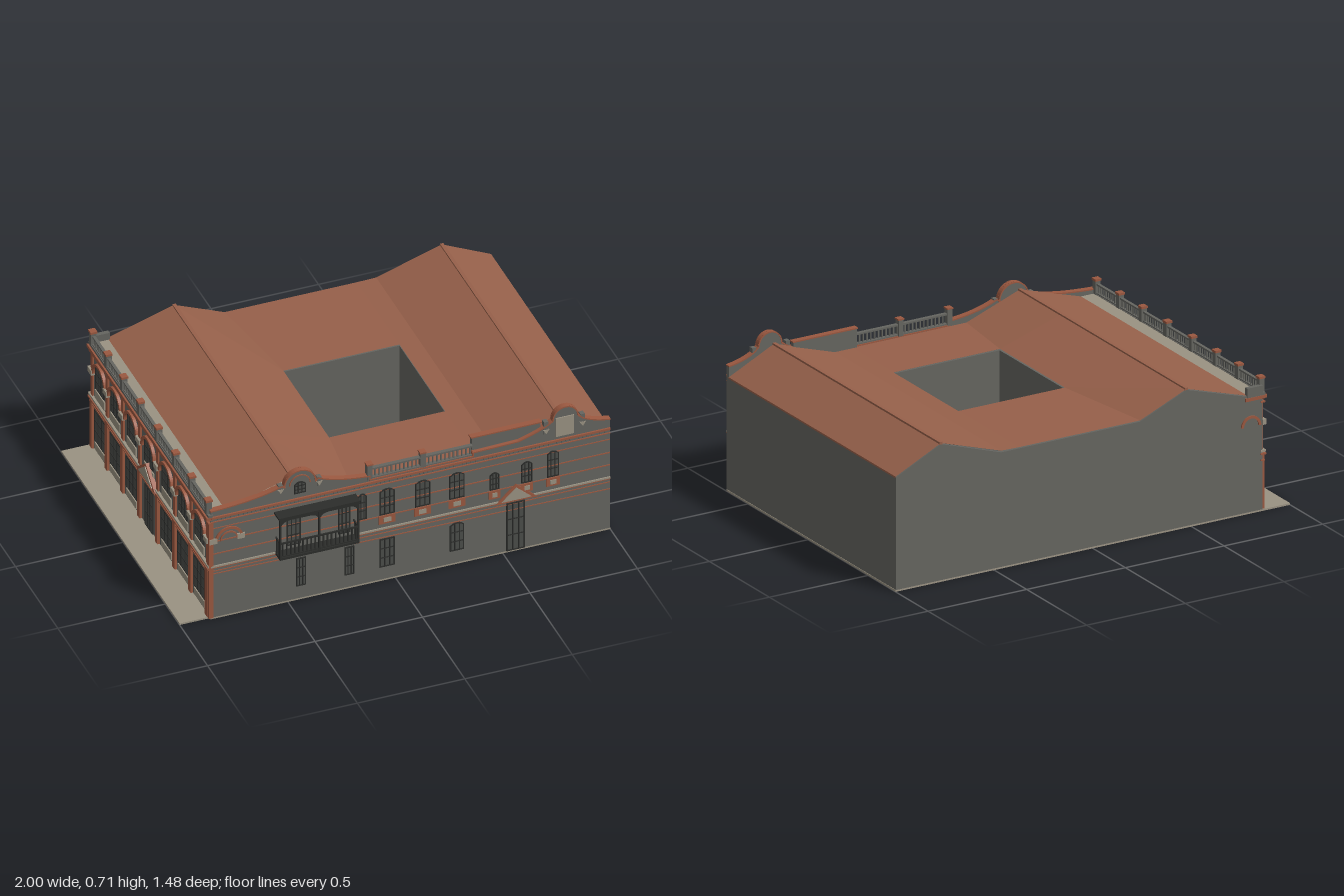
import * as THREE from 'three';

const material = (name, color, side = THREE.FrontSide) => {
  const m = new THREE.MeshStandardMaterial({ color, side });
  m.name = name;
  return m;
};
const WALL = material('grey render', 0x656560);
const ROOF = material('terracotta tile', 0x96604a, THREE.DoubleSide);
const TRIM = material('red trim', 0x9a5840);
const STONE = material('pale stone', 0x9a9282);
const IRON = material('dark iron', 0x2c2d2b);
const GLASS = material('dark glass', 0x4b4d4a);

function add(parent, name, geo, mat) {
  const m = new THREE.Mesh(geo, mat);
  m.name = name;
  parent.add(m);
  return m;
}
function box(parent, name, mat, x0, x1, y0, y1, z0, z1) {
  const m = add(parent, name, new THREE.BoxGeometry(x1 - x0, y1 - y0, z1 - z0), mat);
  m.position.set((x0 + x1) / 2, (y0 + y1) / 2, (z0 + z1) / 2);
  return m;
}
function plate(parent, name, mat, shape, z, depth) {
  const geo = new THREE.ExtrudeGeometry(shape, { depth, bevelEnabled: false, curveSegments: 12 });
  return add(parent, name, geo.translate(0, 0, z), mat);
}
const polygon = pts => new THREE.Shape(pts.map(p => new THREE.Vector2(...p)));
function group(parent, name) {
  const g = new THREE.Group();
  g.name = name;
  parent.add(g);
  return g;
}
// Row of short bars following a line of points
function strip(parent, name, mat, pts, z0, z1, t) {
  for (let i = 1; i < pts.length; i++) {
    const [a, b] = [pts[i - 1], pts[i]];
    const m = box(parent, name, mat, 0, Math.hypot(b.x - a.x, b.y - a.y) + t / 2, 0, t, z0, z1);
    m.position.set((a.x + b.x) / 2, (a.y + b.y) / 2, (z0 + z1) / 2);
    m.rotation.z = Math.atan2(b.y - a.y, b.x - a.x);
  }
}
// Half-round band
function arch(parent, mat, x, y, r, t, z, depth) {
  const s = new THREE.Shape();
  s.absarc(x, y, r, 0, Math.PI, false);
  s.absarc(x, y, r - t, Math.PI, 0, true);
  plate(parent, 'arch', mat, s, z, depth);
}
// Framed window with glazing bars and an optional rounded head
function windowUnit(parent, x, y0, y1, w, z, rounded) {
  const g = group(parent, 'window'), h = w / 2, d = z + 0.006;
  const outline = k => {
    const s = new THREE.Shape().moveTo(x - h + k, y0 + k).lineTo(x + h - k, y0 + k).lineTo(x + h - k, y1 - 0.015);
    if (rounded) s.quadraticCurveTo(x, y1 + 0.015 - 2 * k, x - h + k, y1 - 0.015);
    else s.lineTo(x + h - k, y1 - k).lineTo(x - h + k, y1 - k);
    return s;
  };
  plate(g, 'pane', GLASS, outline(0.002), z, 0.002);
  const frame = outline(0);
  frame.holes.push(outline(0.005));
  plate(g, 'frame', IRON, frame, z, 0.006);
  for (const k of [-1 / 6, 1 / 6]) box(g, 'glazing bar', IRON, x + w * k - 0.002, x + w * k + 0.002, y0, y1 - 0.006, z, d);
  for (const k of [0.33, 0.66]) {
    const y = y0 + (y1 - y0) * k;
    box(g, 'glazing bar', IRON, x - h, x + h, y - 0.002, y + 0.002, z, d);
  }
}
function balustrade(parent, x0, x1, y0, y1, z0, z1, mat) {
  const g = group(parent, 'balustrade'), n = Math.round((x1 - x0) / 0.019), zc = (z0 + z1) / 2;
  box(g, 'top rail', mat, x0, x1, y1 - 0.008, y1, z0, z1);
  box(g, 'bottom rail', mat, x0, x1, y0, y0 + 0.006, z0, z1);
  for (let i = 0; i < n; i++) {
    const x = x0 + (i + 0.5) * (x1 - x0) / n;
    box(g, 'baluster', mat, x - 0.003, x + 0.003, y0, y1 - 0.004, zc - 0.003, zc + 0.003);
  }
}

// Four walls, courtyard shaft and ground slabs
function buildShell(root) {
  const g = group(root, 'shell');
  box(g, 'ground slab', STONE, -0.86, 1, 0, 0.008, -0.73, 0.68);
  box(g, 'pavement', STONE, -1, -0.86, 0, 0.008, -0.73, 0.67);
  box(g, 'side wall', WALL, 0.98, 0.998, 0.008, 0.53, -0.73, 0.68);
  box(g, 'street wall', WALL, -0.86, -0.84, 0.008, 0.54, -0.73, 0.68);
  const gable = polygon([[-0.86, 0.008], [0.998, 0.008], [0.998, 0.53], [0.77, 0.64], [0.465, 0.54],
    [-0.24, 0.54], [-0.475, 0.64], [-0.785, 0.545], [-0.86, 0.545]]);
  plate(g, 'back wall', WALL, gable, -0.73, 0.018);
  box(g, 'courtyard wall', WALL, -0.175, -0.163, 0.008, 0.54, -0.225, 0.315);
  box(g, 'courtyard wall', WALL, 0.375, 0.387, 0.008, 0.54, -0.225, 0.315);
  box(g, 'courtyard wall', WALL, -0.175, 0.387, 0.008, 0.54, -0.237, -0.225);
  box(g, 'courtyard wall', WALL, -0.175, 0.387, 0.008, 0.54, 0.315, 0.327);
}

// Two ridges with a low field between, open over the courtyard
function buildRoof(root) {
  const g = group(root, 'roof'), pos = [];
  const zs = [-0.73, -0.225, 0.315, 0.662], valley = [-0.24, -0.165, -0.165, -0.205];
  const section = i => [[-0.785, 0.55], [-0.475, 0.645], [valley[i], 0.546], [0.375, 0.546], [0.465, 0.548],
    [0.77, 0.645], [1, 0.535], [1, 0.527]].map(([x, y]) => [x, y, zs[i]]);
  for (let i = 0; i < 3; i++) {
    const a = section(i), b = section(i + 1);
    for (let j = 0; j < a.length - 1; j++) {
      if (i === 1 && j === 2) continue;
      pos.push(...a[j], ...b[j], ...b[j + 1], ...a[j], ...b[j + 1], ...a[j + 1]);
    }
  }
  const geo = new THREE.BufferGeometry();
  geo.setAttribute('position', new THREE.Float32BufferAttribute(pos, 3));
  geo.computeVertexNormals();
  add(g, 'tiles', geo, ROOF);
  for (const x of [-0.475, 0.77]) box(g, 'ridge cap', ROOF, x - 0.008, x + 0.008, 0.638, 0.65, -0.73, 0.66);
  box(g, 'gutter deck', STONE, -0.86, -0.78, 0.54, 0.55, -0.73, 0.665);
}

// Front wall, shaped parapet, bands, openings
function buildFront(root) {
  const g = group(root, 'front'), Z = 0.68;
  const s = new THREE.Shape().moveTo(-0.86, 0.57);
  s.quadraticCurveTo(-0.63, 0.58, -0.53, 0.62).lineTo(-0.515, 0.61);
  s.absarc(-0.445, 0.61, 0.073, Math.PI, 0, true);
  s.lineTo(-0.36, 0.622).quadraticCurveTo(-0.27, 0.58, -0.12, 0.57);
  s.lineTo(-0.12, 0.55).lineTo(0.36, 0.55).lineTo(0.36, 0.57).lineTo(0.57, 0.575);
  s.quadraticCurveTo(0.66, 0.6, 0.705, 0.625).lineTo(0.73, 0.64);
  s.absarc(0.79, 0.645, 0.058, Math.PI, 0, true);
  s.lineTo(0.87, 0.625).quadraticCurveTo(0.92, 0.595, 0.998, 0.585);
  strip(g, 'coping', TRIM, s.getPoints(10), 0.658, 0.685, 0.006);
  s.lineTo(0.998, 0.008).lineTo(-0.86, 0.008);
  plate(g, 'front wall', WALL, s, 0.66, 0.02);
  box(g, 'parapet block', WALL, 0.36, 0.68, 0.55, 0.636, 0.645, 0.668);
  box(g, 'parapet block coping', TRIM, 0.355, 0.685, 0.636, 0.642, 0.642, 0.67);

  // Pediment details
  arch(g, TRIM, -0.445, 0.61, 0.05, 0.005, Z, 0.004);
  windowUnit(g, -0.445, 0.565, 0.625, 0.055, Z, true);
  box(g, 'pediment panel', STONE, 0.745, 0.83, 0.555, 0.652, Z, Z + 0.005);
  for (const x of [-0.535, -0.355, 0.70, 0.87]) {
    box(g, 'parapet post', WALL, x - 0.01, x + 0.01, 0.58, 0.645 - (x < 0 ? 0.02 : 0), 0.66, 0.684);
    plate(g, 'corbel', STONE, polygon([[x - 0.014, 0.605], [x, 0.583], [x + 0.014, 0.605]]), Z, 0.006);
  }
  balustrade(g, -0.12, 0.36, 0.553, 0.606, 0.662, 0.68, WALL);
  for (const x of [-0.12, 0.128]) {
    box(g, 'balustrade post', WALL, x - 0.012, x + 0.012, 0.55, 0.625, 0.657, 0.684);
    box(g, 'post cap', TRIM, x - 0.015, x + 0.015, 0.625, 0.632, 0.655, 0.686);
  }

  // Horizontal mouldings: height, thickness, projection
  for (const [y, t, d] of [[0.53, 0.01, 0.008], [0.51, 0.004, 0.005], [0.475, 0.004, 0.003],
    [0.405, 0.005, 0.003], [0.34, 0.005, 0.003], [0.25, 0.004, 0.003]])
    box(g, 'moulding', TRIM, -0.86, 0.998, y, y + t, Z, Z + d);
  box(g, 'string course', STONE, -0.86, 0.998, 0.273, 0.281, Z, Z + 0.006);
  box(g, 'string course edge', TRIM, -0.86, 0.998, 0.268, 0.273, Z, Z + 0.005);
  box(g, 'lower moulding', TRIM, -0.86, 0.998, 0.225, 0.229, Z, Z + 0.003).rotation.z = -0.012;
  for (let i = 0; i < 92; i++)
    box(g, 'dentil', WALL, -0.85 + i * 0.02, -0.841 + i * 0.02, 0.519, 0.529, Z, Z + 0.005);
  box(g, 'corner pilaster', TRIM, -0.87, -0.848, 0.008, 0.51, 0.655, Z + 0.005);

  // Arched corner bay
  arch(g, TRIM, -0.775, 0.405, 0.066, 0.012, Z, 0.006);
  arch(g, TRIM, -0.775, 0.405, 0.042, 0.006, Z, 0.005);
  for (const x of [-0.85, -0.72]) box(g, 'impost', STONE, x - 0.018, x + 0.018, 0.398, 0.424, Z, Z + 0.008);

  // Windows: centre, bottom, top, width
  for (const [x, y0, y1, w] of [[-0.475, 0.3, 0.46, 0.065], [-0.24, 0.3, 0.46, 0.055], [-0.155, 0.35, 0.485, 0.04],
    [-0.04, 0.35, 0.485, 0.07], [0.125, 0.35, 0.485, 0.07], [0.285, 0.35, 0.485, 0.07],
    [0.46, 0.35, 0.44, 0.045], [0.61, 0.35, 0.46, 0.05], [0.732, 0.35, 0.485, 0.055]]) {
    windowUnit(g, x, y0, y1, w, Z, true);
    if (x < -0.1) continue;
    box(g, 'sill', TRIM, x - w / 2 - 0.004, x + w / 2 + 0.004, 0.302, 0.345, Z, Z + 0.005);
    box(g, 'sill panel', STONE, x - w / 4, x + w / 4, 0.312, 0.334, Z, Z + 0.008);
  }
  for (const [x, w] of [[-0.44, 0.045], [-0.215, 0.045], [-0.04, 0.07], [0.285, 0.065]])
    windowUnit(g, x, 0.075, 0.222, w, Z, x > 0);

  // Side door with gabled hood
  windowUnit(g, 0.558, 0.01, 0.26, 0.085, Z, false);
  plate(g, 'door hood edge', TRIM, polygon([[0.462, 0.266], [0.658, 0.266], [0.56, 0.354]]), Z, 0.007);
  plate(g, 'door hood', STONE, polygon([[0.49, 0.275], [0.63, 0.275], [0.56, 0.338]]), Z, 0.01);
}

// Covered iron balcony with two arched openings
function buildBalcony(root) {
  const g = group(root, 'balcony');
  box(g, 'floor', IRON, -0.56, -0.19, 0.27, 0.282, 0.68, 0.738);
  box(g, 'canopy', IRON, -0.565, -0.185, 0.483, 0.492, 0.68, 0.738);
  balustrade(g, -0.555, -0.195, 0.285, 0.36, 0.731, 0.737, IRON);
  for (const x of [-0.556, -0.375, -0.194]) {
    box(g, 'post', IRON, x - 0.004, x + 0.004, 0.28, 0.485, 0.729, 0.737);
    if (x !== -0.375) {
      box(g, 'side rail', IRON, x - 0.003, x + 0.003, 0.353, 0.36, 0.68, 0.735);
      for (let k = 0; k < 3; k++) box(g, 'side baluster', IRON, x - 0.003, x + 0.003, 0.28, 0.356, 0.688 + k * 0.015, 0.693 + k * 0.015);
    }
  }
  for (const x of [-0.556, -0.375]) {
    const s = new THREE.Shape().moveTo(x, 0.485).lineTo(x, 0.44).quadraticCurveTo(x + 0.01, 0.472, x + 0.045, 0.472);
    s.lineTo(x + 0.136, 0.472).quadraticCurveTo(x + 0.171, 0.472, x + 0.181, 0.44).lineTo(x + 0.181, 0.485);
    plate(g, 'spandrel', IRON, s, 0.731, 0.005);
  }
}

// Street facade, built along local x and turned to face -x
function buildStreetFacade(root) {
  const g = group(root, 'streetFacade'), Z = 0.86;
  g.rotation.y = -Math.PI / 2;
  const piers = [-0.71, -0.53, -0.345, -0.145, 0.065, 0.27, 0.46, 0.655];
  for (const [y, t, d, m] of [[0.525, 0.015, 0.02, TRIM], [0.505, 0.006, 0.012, TRIM], [0.54, 0.012, 0.012, WALL],
    [0.275, 0.01, 0.014, STONE], [0.262, 0.008, 0.016, TRIM], [0.235, 0.006, 0.008, TRIM]])
    box(g, 'moulding', m, -0.735, 0.685, y, y + t, Z - 0.01, Z + d);
  piers.forEach((x, i) => {
    box(g, 'parapet pier', WALL, x - 0.013, x + 0.013, 0.55, 0.612, Z - 0.012, Z + 0.014);
    box(g, 'pier cap', TRIM, x - 0.016, x + 0.016, 0.612, 0.622, Z - 0.014, Z + 0.017);
    box(g, 'upper pilaster', TRIM, x - 0.012, x + 0.012, 0.285, 0.505, Z, Z + 0.008);
    box(g, 'lower pilaster', TRIM, x - 0.014, x + 0.014, 0.008, 0.262, Z, Z + 0.012);
    box(g, 'impost', STONE, x - 0.022, x + 0.022, 0.4, 0.425, Z, Z + 0.018);
    if (i === 7) return;
    const x1 = piers[i + 1], c = (x + x1) / 2, door = i === 3;
    balustrade(g, x + 0.013, x1 - 0.013, 0.552, 0.6, Z - 0.006, Z + 0.008, WALL);
    // Arched upper window
    arch(g, TRIM, c, 0.412, 0.078, 0.014, Z, 0.014);
    windowUnit(g, c, 0.345, 0.47, 0.1, Z, true);
    box(g, 'sill panel', STONE, c - 0.055, c + 0.055, 0.292, 0.335, Z, Z + 0.006);
    // Shopfront or entrance
    windowUnit(g, c, door ? 0.01 : 0.065, 0.225, door ? 0.09 : 0.13, Z, false);
    if (!door) box(g, 'stall panel', STONE, c - 0.06, c + 0.06, 0.02, 0.055, Z, Z + 0.006);
  });
  plate(g, 'entrance hood edge', TRIM, polygon([[-0.15, 0.272], [0.07, 0.272], [-0.04, 0.36]]), Z, 0.02);
  plate(g, 'entrance hood', STONE, polygon([[-0.12, 0.28], [0.04, 0.28], [-0.04, 0.345]]), Z, 0.024);
  // Short return around the back corner
  box(root, 'parapet return', WALL, -0.86, -0.78, 0.54, 0.585, -0.735, -0.715);
  box(root, 'return moulding', TRIM, -0.87, -0.77, 0.525, 0.54, -0.738, -0.73);
  arch(root, TRIM, -0.8, 0.405, 0.05, 0.012, -0.736, 0.006);
}

export function createModel() {
  const root = new THREE.Group();
  root.name = 'courtyardBuilding';
  buildShell(root);
  buildRoof(root);
  buildFront(root);
  buildBalcony(root);
  buildStreetFacade(root);
  return root;
}
